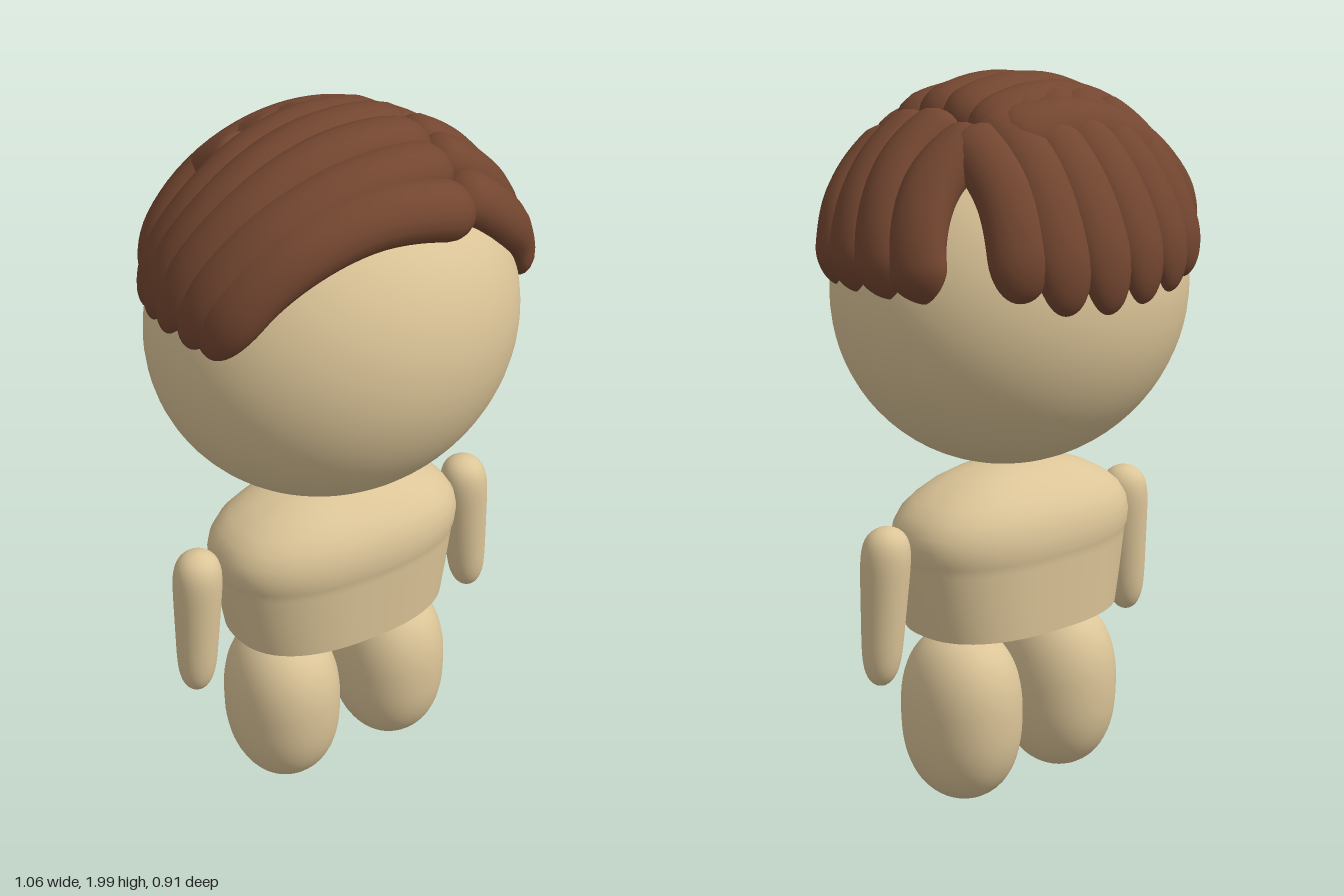
import * as THREE from 'three';

const skin = new THREE.MeshStandardMaterial({ color: 0xdcc598 });
const hairMat = new THREE.MeshStandardMaterial({ color: 0x734630 });

// Smooth skin over a list of closed rings (each an array of Vector3)
function loft(rings) {
  const n = rings[0].length, pos = [], idx = [];
  rings.forEach(r => r.forEach(p => pos.push(p.x, p.y, p.z)));
  for (let i = 0; i < rings.length - 1; i++) {
    for (let j = 0; j < n; j++) {
      const k = (j + 1) % n, a = i * n + j, b = i * n + k;
      idx.push(a, b, a + n, b, b + n, a + n);
    }
  }
  const g = new THREE.BufferGeometry();
  g.setAttribute('position', new THREE.Float32BufferAttribute(pos, 3));
  g.setIndex(idx);
  g.computeVertexNormals();
  return g;
}

// Horizontal superellipse ring
function ring(y, rx, rz, cx = 0, cz = 0, pow = 2, n = 48) {
  const e = v => Math.sign(v) * Math.abs(v) ** (2 / pow);
  return Array.from({ length: n }, (_, j) => {
    const a = j / n * Math.PI * 2;
    return new THREE.Vector3(cx + rx * e(Math.cos(a)), y, cz - rz * e(Math.sin(a)));
  });
}

function add(parent, name, geometry, material) {
  const m = new THREE.Mesh(geometry, material);
  m.name = name;
  parent.add(m);
  return m;
}

// Head ellipsoid, also the scalp the hair is laid on
const C = new THREE.Vector3(0, 1.43, 0.005), R = new THREE.Vector3(0.51, 0.48, 0.435);

function project(p) {
  const q = p.clone().sub(C).divide(R).normalize();
  return { point: q.clone().multiply(R).add(C), normal: q.divide(R).normalize() };
}

// Scalp point seen from above at x, z
function top(x, z) {
  const s = 1 - (x / R.x) ** 2 - ((z - C.z) / R.z) ** 2;
  return new THREE.Vector3(x, C.y + R.y * Math.sqrt(Math.max(0, s)), z);
}

// Rounded lock of hair following the scalp through a few points
function lock(points, width, thick, lift = 0.012, sharp = 0.5) {
  const curve = new THREE.CatmullRomCurve3(points.map(p => project(p).point));
  const N = 36, M = 20, rings = [];
  for (let i = 0; i <= N; i++) {
    const t = (1 - Math.cos(Math.PI * i / N)) / 2;
    const { point, normal } = project(curve.getPoint(t));
    const side = normal.clone().cross(curve.getTangent(t)).normalize();
    const a = Math.max(0, 1 - t / 0.1), b = Math.max(0, (t - 0.78) / 0.22);
    const s = Math.sqrt(Math.max(0, 1 - a * a)) * Math.max(0, 1 - b * b) ** sharp;
    const h = s * THREE.MathUtils.lerp(thick, thick * 0.5, t * t);
    rings.push(Array.from({ length: M }, (_, j) => {
      const u = j / M * Math.PI * 2;
      const o = project(point.clone().addScaledVector(side, width * s * Math.cos(u)));
      return o.point.addScaledVector(o.normal, lift * s + h * Math.sin(u));
    }));
  }
  return loft(rings);
}

export function createModel() {
  const model = new THREE.Group();

  // Head
  const head = add(model, 'head', new THREE.SphereGeometry(1, 64, 40), skin);
  head.scale.copy(R);
  head.position.copy(C);

  // Torso: flat base, widening to the shoulders, then a low dome
  const torso = [
    [0.51, 0, 0], [0.51, 0.32, 0.208], [0.51, 0.32, 0.208], [0.6, 0.337, 0.21], [0.7, 0.353, 0.212],
    [0.725, 0.358, 0.213], [0.735, 0.362, 0.218], [0.77, 0.367, 0.218], [0.805, 0.36, 0.213],
    [0.84, 0.338, 0.2], [0.87, 0.303, 0.178], [0.9, 0.25, 0.148], [0.925, 0.185, 0.11],
    [0.94, 0.115, 0.07], [0.947, 0.05, 0.03], [0.948, 0, 0],
  ];
  add(model, 'torso', loft(torso.map(([y, x, z]) => ring(y, x, z, 0, 0.005, 2.4, 64))), skin);

  // Arms and legs
  for (const s of [1, -1]) {
    const side = s > 0 ? 'left' : 'right';
    const arm = [], leg = [];
    for (let i = 0; i <= 32; i++) {
      const v = -Math.cos(Math.PI * i / 32), t = (v + 1) / 2;
      const round = (1 - Math.abs(v) ** 6) ** 0.5;
      const r = THREE.MathUtils.lerp(0.05, 0.073, t) * round;
      arm.push(ring(0.62 + 0.22 * v, r, r, s * (0.452 - 0.022 * t), 0.018 - 0.008 * t, 2, 32));
      const q = Math.max(0, 1 - Math.abs(v) ** 2.4) ** (1 / 2.3) * (1 + 0.02 * v);
      leg.push(ring(0.25 + 0.245 * v, 0.156 * q, 0.177 * q, s * 0.177, 0.012, 2.1, 40));
    }
    add(model, side + 'Arm', loft(arm), skin);
    add(model, side + 'Leg', loft(leg), skin);
  }

  // Hair: locks fall both ways from a parting on the left, and down the back
  const hair = new THREE.Group();
  hair.name = 'hair';
  model.add(hair);
  const V = (x, y, z) => new THREE.Vector3(x, y, z);

  // Back locks: start x, tip x, tip height
  [[-0.17, -0.29, 1.47], [-0.07, -0.19, 1.45], [0.01, -0.07, 1.44], [0.09, 0.05, 1.43],
    [0.16, 0.17, 1.44], [0.23, 0.28, 1.48]].forEach(([x0, x1, y], i) =>
    add(hair, 'backLock' + (i + 1), lock(
      [top(x0, -0.1), top((x0 + x1) / 2, -0.27), V(x1, y, -0.43 + 0.9 * x1 * x1)], 0.078, 0.075), hairMat));

  // Long locks swept over the crown: parting z, middle z, tip z
  [[0.25, 0.25, 0.17, 0.08], [0.15, 0.18, 0.1, 0.08], [0.06, 0.08, 0.01, 0.078],
    [-0.03, -0.01, -0.07, 0.078], [-0.12, -0.1, -0.15, 0.078]].forEach(([z0, z1, z2, w], i) =>
    add(hair, 'crownLock' + (i + 1), lock(
      [top(0.23, z0), top(-0.08, z1), top(-0.33, z1 * 0.85), V(-0.5, 1.54, z2)], w, 0.078), hairMat));

  // Lock curling over the top of the back locks
  add(hair, 'sweptLock', lock(
    [top(0.21, -0.17), top(-0.05, -0.2), top(-0.28, -0.23), V(-0.43, 1.55, -0.24)], 0.085, 0.082, 0.014), hairMat);

  // Short locks on the parted side: parting z, tip z
  [[0.21, 0.14], [0.1, 0.02], [0, -0.1], [-0.12, -0.21]].forEach(([z0, z1], i) =>
    add(hair, 'sideLock' + (i + 1), lock(
      [top(0.2, z0), top(0.36, z0 * 0.95), V(0.49, 1.62, (z0 + z1) / 2), V(0.5, 1.48, z1)],
      0.076, 0.07, 0.012, 0.75), hairMat));

  return model;
}
